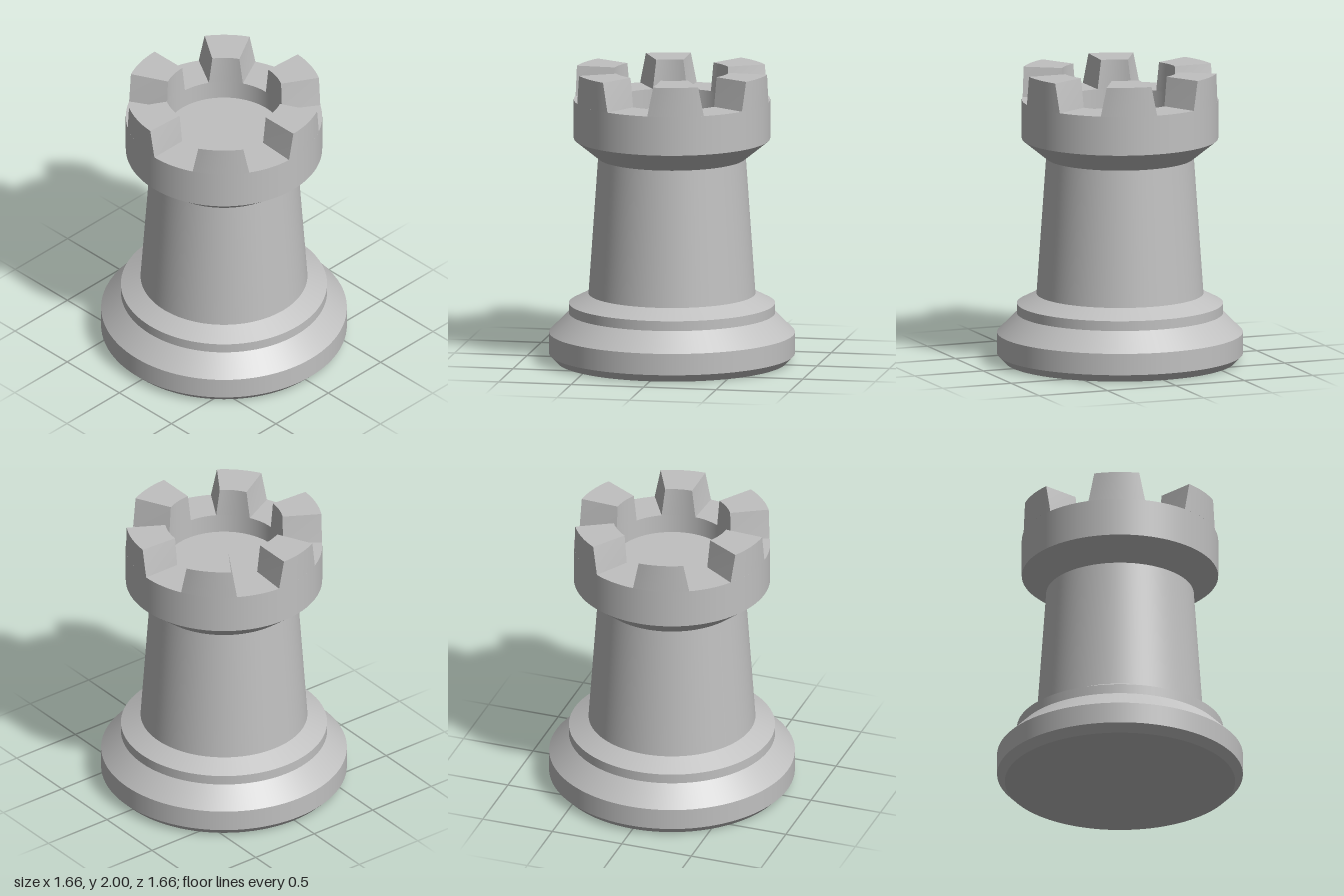
import * as THREE from 'three';
import { mergeGeometries } from 'three/addons/utils/BufferGeometryUtils.js';

const OUTER = 0.665, INNER = 0.4, RIM = 1.8, TOP = 2;

// Turned surface: each profile segment is its own band, so corners stay sharp and the round stays smooth
function turned(profile) {
  const bands = [];
  for (let i = 0; i < profile.length - 1; i++) {
    const pair = [profile[i], profile[i + 1]].map(([r, y]) => new THREE.Vector2(r, y));
    bands.push(new THREE.LatheGeometry(pair, 96));
  }
  return mergeGeometries(bands);
}

// Curved block with sides that lean inward towards the top
function merlonGeometry(topHalf, bottomHalf) {
  const g = new THREE.BoxGeometry(1, 1, 1, 8, 1, 1);
  const p = g.attributes.position;
  for (let i = 0; i < p.count; i++) {
    const up = p.getY(i) > 0;
    const a = THREE.MathUtils.degToRad(2 * p.getX(i) * (up ? topHalf : bottomHalf));
    const r = p.getZ(i) > 0 ? OUTER : INNER;
    p.setXYZ(i, r * Math.sin(a), up ? TOP : RIM, r * Math.cos(a));
  }
  g.computeVertexNormals();
  return g;
}

export function createModel() {
  const group = new THREE.Group();
  const stone = new THREE.MeshStandardMaterial({ color: 0xc0c0c0 });
  stone.name = 'lightGrey';

  const add = (name, geometry) => {
    const mesh = new THREE.Mesh(geometry, stone);
    mesh.name = name;
    group.add(mesh);
    return mesh;
  };

  // Stepped foot
  add('base', turned([
    [0, 0], [0.78, 0], [0.832, 0.053], [0.832, 0.2],
    [0.698, 0.333], [0.698, 0.4], [0.565, 0.467],
  ]));

  // Tapering shaft
  add('tower', turned([[0.565, 0.467], [0.5, 1.4]]));

  // Flared head with its rim and sunken floor
  add('head', turned([
    [0.5, 1.4], [OUTER, 1.533], [OUTER, RIM],
    [INNER, RIM], [INNER, 1.667], [0, 1.667],
  ]));

  // Six battlements
  const merlon = merlonGeometry(13.25, 16.75);
  for (let i = 0; i < 6; i++) {
    add('merlon' + (i + 1), merlon).rotation.y = THREE.MathUtils.degToRad(43.25 + 60 * i);
  }
  return group;
}
